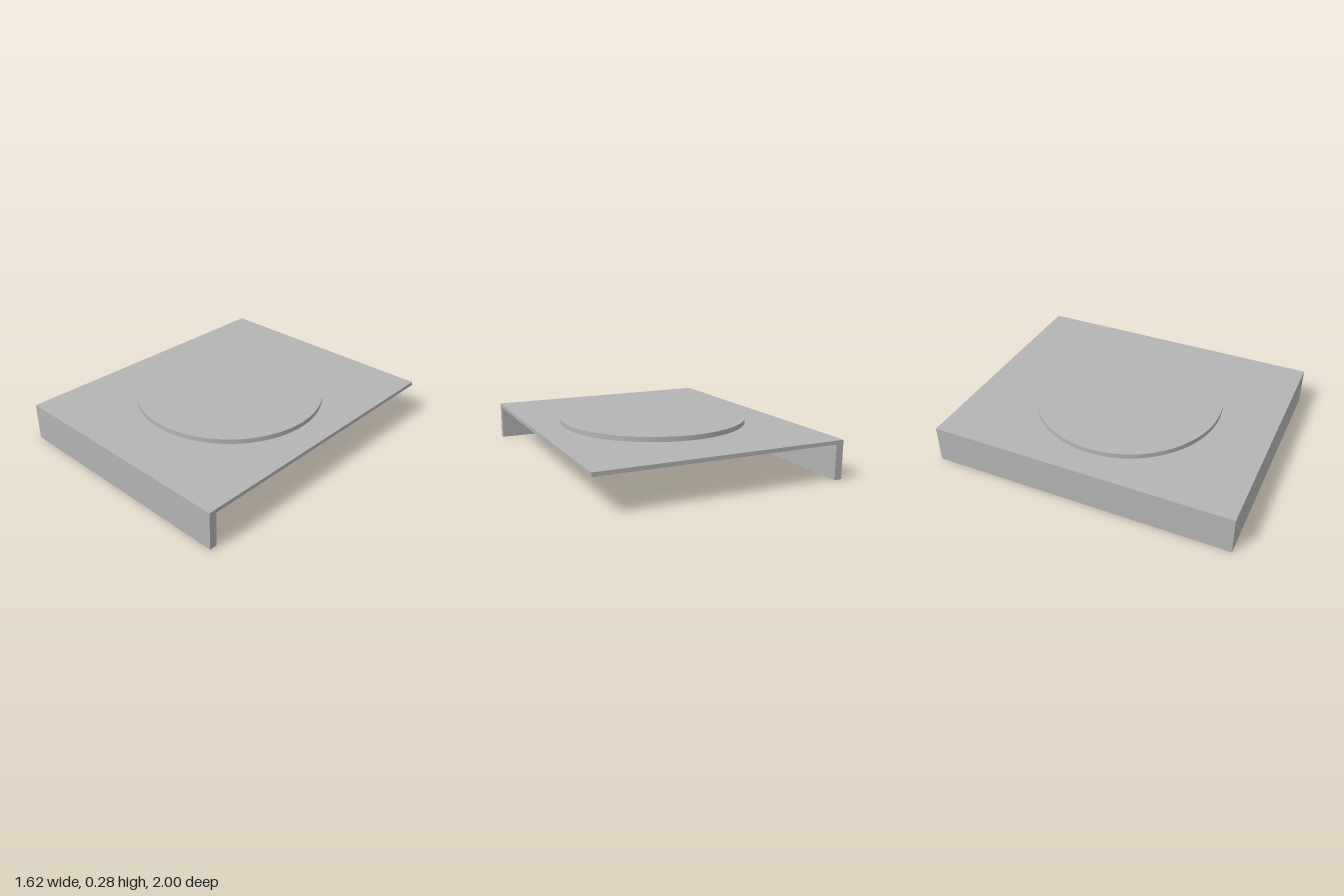
import * as THREE from 'three';

const W = 1.625, D = 2, H = 0.25;   // overall width, depth, height of the cover
const WALL = 0.05, TOP = 0.025;     // wall and top plate thickness
const DISC_R = 0.625, DISC_H = 0.032;

export function createModel() {
  const group = new THREE.Group();
  const grey = new THREE.MeshStandardMaterial({ color: 0xb4b4b4 });
  grey.name = 'grey';

  // Box given by its minimum and maximum corners
  const box = (name, [x0, y0, z0], [x1, y1, z1]) => {
    const mesh = new THREE.Mesh(new THREE.BoxGeometry(x1 - x0, y1 - y0, z1 - z0), grey);
    mesh.position.set((x0 + x1) / 2, (y0 + y1) / 2, (z0 + z1) / 2);
    mesh.name = name;
    group.add(mesh);
  };

  // Two walls meet at the front corner; the other two sides stay open
  box('frontWall', [-W / 2, 0, D / 2 - WALL], [W / 2, H, D / 2]);
  box('sideWall', [-W / 2, 0, -D / 2], [-W / 2 + WALL, H, D / 2 - WALL]);
  box('topPlate', [-W / 2 + WALL, H - TOP, -D / 2], [W / 2, H, D / 2 - WALL]);

  // Raised round pad on the top plate
  const disc = new THREE.Mesh(new THREE.CylinderGeometry(DISC_R, DISC_R, DISC_H, 96), grey);
  disc.position.y = H + DISC_H / 2;
  disc.name = 'raisedDisc';
  group.add(disc);

  return group;
}
